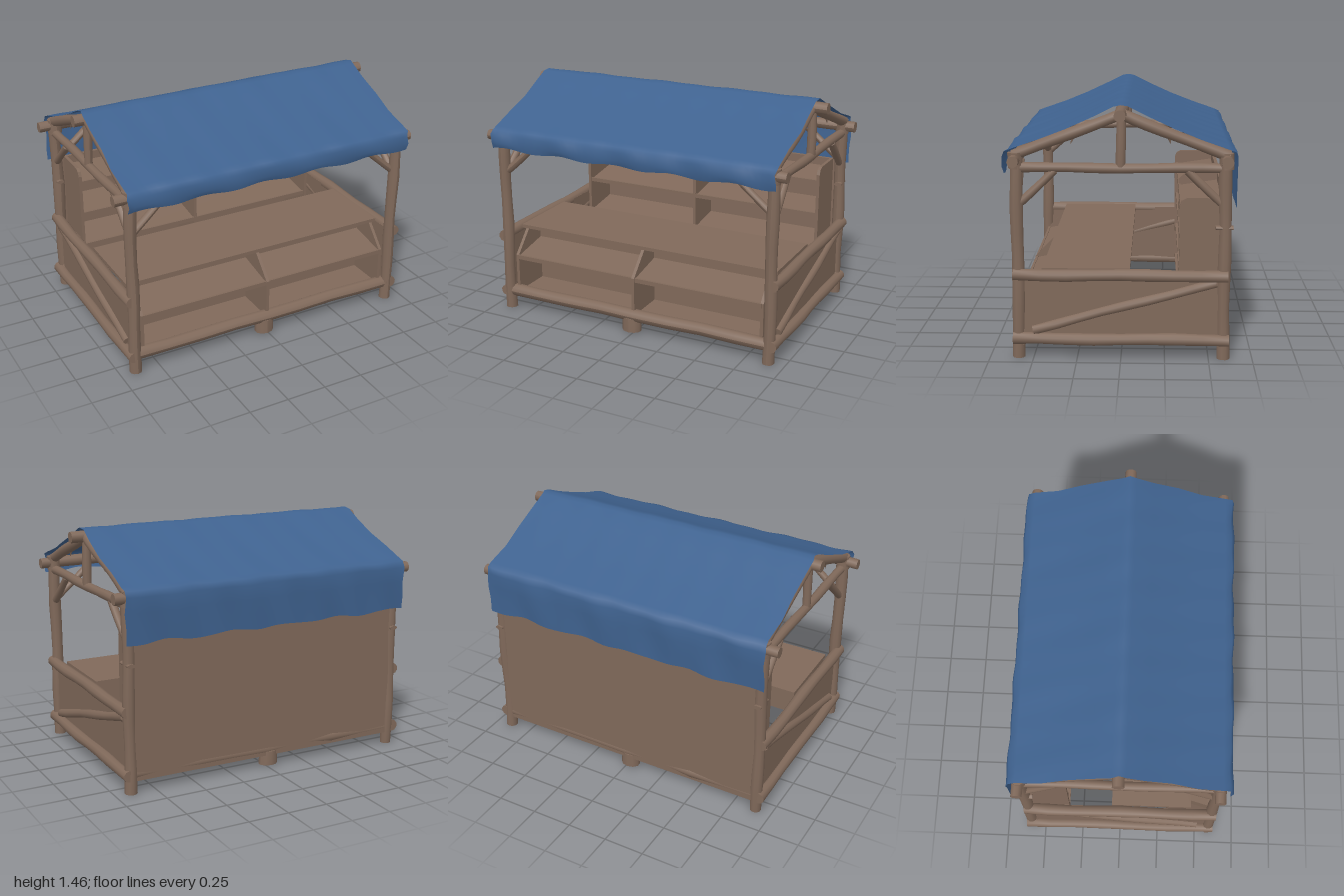
import * as THREE from 'three';

export function createModel() {
  const wood = new THREE.MeshStandardMaterial({ color: 0x80695a });
  wood.name = 'weathered wood';
  const cloth = new THREE.MeshStandardMaterial({ color: 0x3f628f, side: THREE.DoubleSide });
  cloth.name = 'blue cloth';
  const model = new THREE.Group();
  model.name = 'marketStall';

  const add = (name, geometry, material = wood) => {
    const mesh = new THREE.Mesh(geometry, material);
    mesh.name = name;
    model.add(mesh);
    return mesh;
  };

  // A rough round log between two points, slightly uneven along its length
  let logCount = 0;
  const log = (name, from, to, r) => {
    const a = new THREE.Vector3(...from), b = new THREE.Vector3(...to);
    const length = a.distanceTo(b);
    const geometry = new THREE.CylinderGeometry(r, r, length, 10, 8);
    const p = geometry.attributes.position, phase = 1.7 * logCount++;
    for (let i = 0; i < p.count; i++) {
      const y = p.getY(i), s = 1 + 0.06 * Math.sin(y * 13 + phase);
      p.setXYZ(i, p.getX(i) * s + 0.003 * Math.sin(y * 9 + phase), y,
        p.getZ(i) * s + 0.003 * Math.cos(y * 8 + phase));
    }
    geometry.computeVertexNormals();
    const mesh = add(name, geometry);
    mesh.position.copy(a).add(b).multiplyScalar(0.5);
    mesh.quaternion.setFromUnitVectors(new THREE.Vector3(0, 1, 0), b.sub(a).normalize());
    return mesh;
  };

  // A box given by its low and high corners
  const box = (name, [x0, y0, z0], [x1, y1, z1]) => {
    const mesh = add(name, new THREE.BoxGeometry(x1 - x0, y1 - y0, z1 - z0));
    mesh.position.set((x0 + x1) / 2, (y0 + y1) / 2, (z0 + z1) / 2);
    return mesh;
  };

  // A shelf board running across x that slopes from its front edge to its back edge
  const shelf = (name, halfWidth, front, back, thick) => {
    const dz = front[0] - back[0], dy = back[1] - front[1];
    const mesh = add(name, new THREE.BoxGeometry(halfWidth * 2, thick, Math.hypot(dz, dy)));
    mesh.position.set(0, (front[1] + back[1]) / 2, (front[0] + back[0]) / 2);
    mesh.rotation.x = Math.atan2(dy, dz);
  };

  // An upright board cut to a z,y outline
  const upright = (name, x, outline, thick = 0.02) => {
    const shape = new THREE.Shape(outline.map(([z, y]) => new THREE.Vector2(z, y)));
    const geometry = new THREE.ExtrudeGeometry(shape, { depth: thick, bevelEnabled: false });
    geometry.rotateY(-Math.PI / 2);
    geometry.translate(x + thick / 2, 0, 0);
    add(name, geometry);
  };

  for (const sx of [-1, 1]) {
    const x = sx * 0.9;
    for (const sz of [-1, 1]) {
      // Corner posts, rafters and braces
      log('cornerPost', [x, 0, sz * 0.583], [x, 1.17, sz * 0.583], 0.036);
      log('postHead', [x, 1.1, sz * 0.585], [x, 1.19, sz * 0.585], 0.042);
      log('rafter', [x, 1.17, sz * 0.6], [x, 1.405, 0], 0.032);
      log('sideBrace', [x, 0.91, sz * 0.56], [x, 1.09, sz * 0.37], 0.023);
      log('frontBackBrace', [sx * 0.88, 0.93, sz * 0.58], [sx * 0.67, 1.11, sz * 0.58], 0.022);
      // Small broken twig under each rafter
      const twig = add('twig', new THREE.ConeGeometry(0.012, 0.05, 6));
      twig.position.set(x, 1.26, sz * 0.27);
      twig.rotation.x = Math.PI - sz * 0.3;
    }
    log('tieBeam', [x, 1.104, -0.6], [x, 1.104, 0.6], 0.028);
    log('kingPost', [x, 1.1, 0], [x, 1.39, 0], 0.026);

    // Low side wall with rails and a diagonal
    log('upperSideRail', [sx * 0.922, 0.492, -0.605], [sx * 0.922, 0.492, 0.61], 0.035);
    log('lowerSideRail', [sx * 0.922, 0.115, -0.615], [sx * 0.922, 0.115, 0.615], 0.035);
    log('sideDiagonal', [sx * 0.912, 0.165, 0.5], [sx * 0.912, 0.45, -0.54], 0.027);
    box('sidePanel', [x - 0.01, 0.1, -0.59], [x + 0.01, 0.5, 0.59]);
    const peg = log('postPeg', [x, 0.77, -0.53], [x, 0.77, -0.63], 0.012);
    peg.scale.x = 2;

    // Ends of the display bins and of the back shelving
    upright('binEnd', sx * 0.845, [[0.31, 0.1], [0.575, 0.1], [0.575, 0.36], [0.45, 0.5], [0.31, 0.5]]);
    upright('shelvingEnd', sx * 0.84,
      [[-0.585, 0.15], [-0.33, 0.15], [-0.33, 0.88], [-0.342, 0.91], [-0.37, 0.925], [-0.585, 0.925]]);
  }

  // Beams running the length of the stall
  log('ridgeBeam', [-0.985, 1.405, 0], [1, 1.405, 0], 0.036);
  for (const sz of [-1, 1]) {
    log('eaveBeam', [-1, 1.15, sz * 0.59], [0.985, 1.15, sz * 0.59], 0.034);
    log('bottomRail', [-0.92, 0.113, sz * 0.57], [0.92, 0.113, sz * 0.57], 0.04);
    const foot = log('middleFoot', [-0.02, 0.012, sz * 0.57], [-0.02, 0.1, sz * 0.57], 0.045);
    foot.scale.x = 1.3;
  }

  // Back wall
  box('backWall', [-0.9, 0.075, -0.607], [0.9, 0.92, -0.585]);

  // Counter and the display bins below it
  box('counter', [-0.885, 0.5, -0.05], [0.885, 0.522, 0.45]);
  box('binBack', [-0.86, 0.1, 0.305], [0.86, 0.505, 0.32]);
  box('binFloor', [-0.85, 0.1, 0.31], [0.85, 0.118, 0.57]);
  shelf('binShelf', 0.845, [0.575, 0.345], [0.315, 0.395], 0.02);
  box('binLip', [-0.845, 0.335, 0.565], [0.845, 0.362, 0.58]);
  upright('binDivider', 0, [[0.31, 0.1], [0.585, 0.1], [0.585, 0.36], [0.45, 0.5], [0.31, 0.5]]);

  // Shelving along the back wall
  box('shelvingFloor', [-0.84, 0.15, -0.585], [0.84, 0.17, -0.335]);
  for (const y of [0.38, 0.605, 0.825]) {
    shelf('backShelf', 0.835, [-0.35, y], [-0.585, y + 0.035], 0.016);
    box('backShelfLip', [-0.835, y - 0.01, -0.352], [0.835, y + 0.016, -0.338]);
  }
  upright('shelvingDivider', -0.03,
    [[-0.585, 0.15], [-0.34, 0.15], [-0.34, 0.87], [-0.4, 0.925], [-0.585, 0.925]]);

  // Cloth roof: a z,y profile swept along x with folds and ragged hanging edges
  const profile = [
    [0.648, 1.082], [0.66, 1.12], [0.655, 1.17], [0.64, 1.198], [0.6, 1.215], [0.45, 1.267],
    [0.3, 1.328], [0.15, 1.396], [0.04, 1.45], [0, 1.458], [-0.04, 1.45], [-0.15, 1.396],
    [-0.3, 1.328], [-0.45, 1.267], [-0.6, 1.215], [-0.64, 1.198], [-0.653, 1.16],
    [-0.65, 1.07], [-0.646, 0.98], [-0.643, 0.895],
  ];
  const columns = 48, rows = profile.length, positions = [], indices = [];
  for (let i = 0; i <= columns; i++) {
    const u = i / columns;
    for (let j = 0; j < rows; j++) {
      const [z, y] = profile[j];
      const hang = Math.abs(z) > 0.62 ? 1 : 0;
      const edge = j === 0 || j === rows - 1 ? 1 : 0;
      const fold = Math.sin(u * 23 + j) * 0.6 + Math.sin(u * 51 + j * 0.4) * 0.4;
      positions.push(
        -0.938 + 1.874 * u + (i % columns ? 0 : 0.006 * Math.sin(j * 2.3)),
        y + 0.003 * fold + edge * 0.008 * Math.sin(u * 31),
        z + hang * 0.006 * fold);
      if (i < columns && j < rows - 1) {
        const a = i * rows + j, b = a + rows;
        indices.push(a, b, a + 1, b, b + 1, a + 1);
      }
    }
  }
  const roof = new THREE.BufferGeometry();
  roof.setAttribute('position', new THREE.Float32BufferAttribute(positions, 3));
  roof.setIndex(indices);
  roof.computeVertexNormals();
  add('clothRoof', roof, cloth);

  return model;
}
